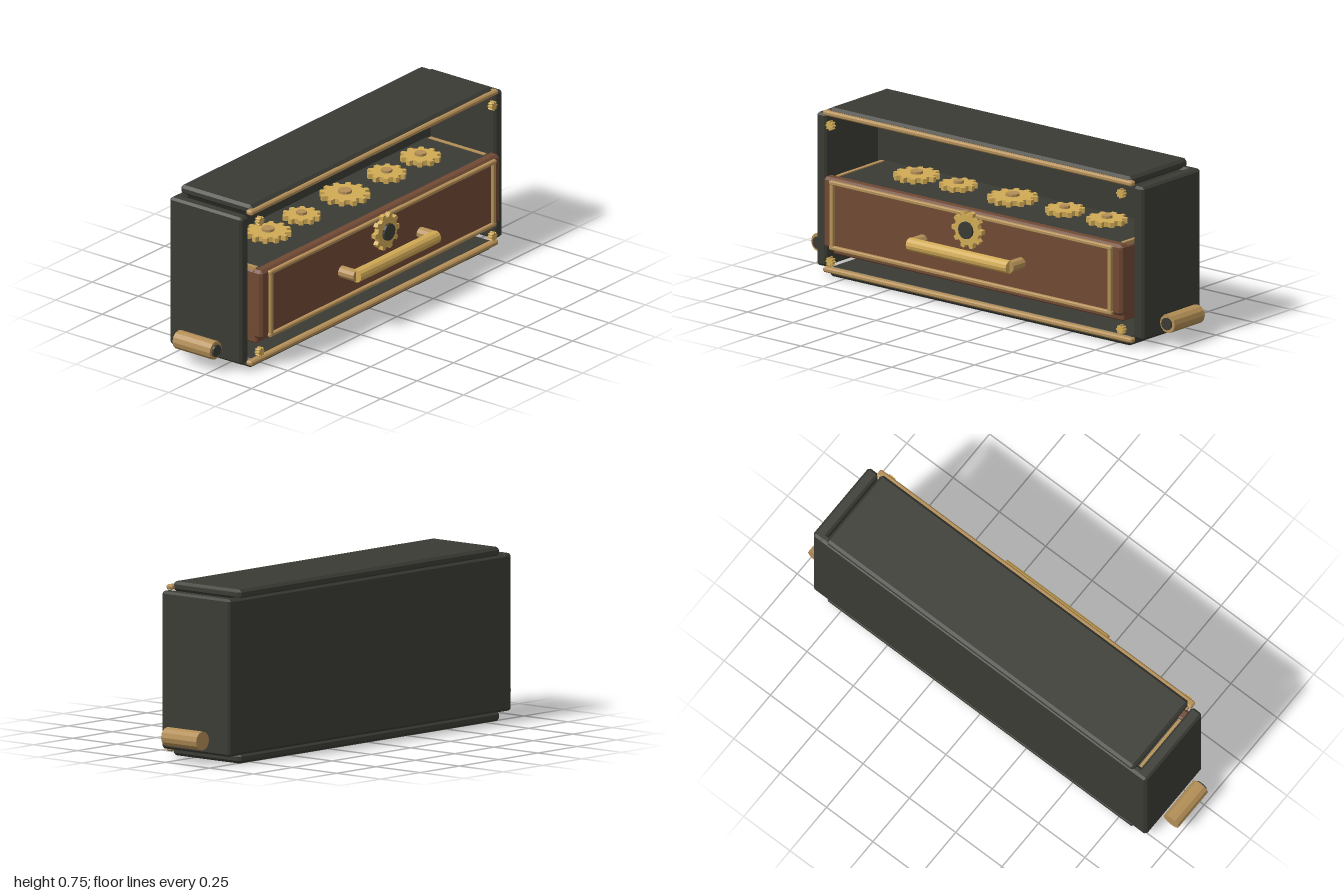
import * as THREE from 'three';
import { ConvexGeometry } from 'three/addons/geometries/ConvexGeometry.js';

const paint = (name, color) => {
  const m = new THREE.MeshStandardMaterial({ color });
  m.name = name;
  return m;
};

// Box given by its min and max corners, with every edge chamfered by c
function chamferBox([x0, y0, z0], [x1, y1, z1], c) {
  const h = [(x1 - x0) / 2, (y1 - y0) / 2, (z1 - z0) / 2];
  const points = [];
  for (const sx of [-1, 1]) for (const sy of [-1, 1]) for (const sz of [-1, 1]) {
    for (let full = 0; full < 3; full++) {
      const p = h.map((v, i) => (i === full ? v : v - c));
      points.push(new THREE.Vector3(p[0] * sx, p[1] * sy, p[2] * sz));
    }
  }
  return new ConvexGeometry(points).translate((x0 + x1) / 2, (y0 + y1) / 2, (z0 + z1) / 2);
}

// Toothed wheel facing +z, centred on its thickness
function gearGeometry(radius, teeth, depth, root = 0.8) {
  const shape = new THREE.Shape();
  const step = (Math.PI * 2) / teeth;
  for (let i = 0; i < teeth; i++) {
    [[-0.3, root], [-0.18, 1], [0.18, 1], [0.3, root]].forEach(([t, r], k) => {
      const a = (i + t) * step;
      const x = Math.cos(a) * r * radius, y = Math.sin(a) * r * radius;
      if (i === 0 && k === 0) shape.moveTo(x, y);
      else shape.lineTo(x, y);
    });
  }
  shape.closePath();
  return new THREE.ExtrudeGeometry(shape, { depth, bevelEnabled: false }).translate(0, 0, -depth / 2);
}

const rodX = (r, len, sides) => new THREE.CylinderGeometry(r, r, len, sides).rotateZ(Math.PI / 2);
const rodZ = (r, len, sides) => new THREE.CylinderGeometry(r, r, len, sides).rotateX(Math.PI / 2);

export function createModel() {
  const iron = paint('dark iron', 0x3b3b35);
  const wood = paint('red brown wood', 0x704934);
  const bronze = paint('bronze', 0xb38e56);
  const brass = paint('brass', 0xd0aa55);

  const model = new THREE.Group();
  model.name = 'drawerCabinet';
  const add = (parent, name, geometry, material, x = 0, y = 0, z = 0) => {
    const mesh = new THREE.Mesh(geometry, material);
    mesh.name = name;
    mesh.position.set(x, y, z);
    parent.add(mesh);
    return mesh;
  };
  const group = (name) => {
    const g = new THREE.Group();
    g.name = name;
    model.add(g);
    return g;
  };

  // Cabinet shell, open at the front, with narrow slots beside the top and bottom
  const shell = group('shell');
  add(shell, 'bottomPanel', chamferBox([-0.83, 0, -0.27], [0.83, 0.042, 0.115], 0.012), iron);
  add(shell, 'topPanel', chamferBox([-0.83, 0.704, -0.27], [0.83, 0.746, 0.115], 0.012), iron);
  add(shell, 'backPanel', chamferBox([-0.9, 0.037, -0.273], [0.9, 0.712, -0.233], 0.012), iron);
  for (const s of [-1, 1]) {
    const x = s * 0.873;
    add(shell, 'sidePanel', chamferBox([x - 0.027, 0.037, -0.272], [x + 0.027, 0.712, 0.115], 0.01), iron);
  }

  // Trim bars and toothed bolts around the opening
  const trim = group('frontTrim');
  for (const y of [0.03, 0.722]) {
    add(trim, 'trimBar', chamferBox([-0.85, y - 0.011, 0.1], [0.85, y + 0.011, 0.133], 0.006), bronze);
  }
  const boltGeometry = gearGeometry(0.021, 8, 0.022, 0.75);
  for (const x of [-0.8, 0.8]) for (const y of [0.075, 0.676]) {
    add(trim, 'cornerBolt', boltGeometry, brass, x, y, 0.137);
  }

  // Drawer body, front panel and covered top
  const drawer = group('drawer');
  add(drawer, 'drawerBody', chamferBox([-0.8, 0.106, -0.2], [0.8, 0.435, 0.122], 0.006), wood);
  add(drawer, 'drawerFront', chamferBox([-0.822, 0.14, 0.11], [0.822, 0.453, 0.164], 0.012), wood);
  add(drawer, 'drawerTop', new THREE.BoxGeometry(1.58, 0.016, 0.32), iron, 0, 0.44, -0.045);
  for (const x of [-0.785, 0.785]) {
    add(drawer, 'drawerRail', new THREE.BoxGeometry(0.018, 0.02, 0.3), bronze, x, 0.442, -0.04);
  }

  // Raised border on the drawer front
  for (const y of [0.15, 0.437]) {
    add(drawer, 'borderBar', chamferBox([-0.778, y - 0.009, 0.16], [0.778, y + 0.009, 0.18], 0.004), bronze);
  }
  for (const x of [-0.765, 0.765]) {
    add(drawer, 'borderPost', chamferBox([x - 0.01, 0.15, 0.16], [x + 0.01, 0.437, 0.179], 0.004), bronze);
  }

  // Toothed rosette with a dark hub
  add(drawer, 'rosette', gearGeometry(0.083, 10, 0.022), brass, 0, 0.378, 0.189);
  add(drawer, 'rosetteHub', rodZ(0.038, 0.05, 12), iron, 0, 0.378, 0.187);

  // Pull handle
  const handle = group('handle');
  add(handle, 'handleBar', rodX(0.029, 0.55, 12), brass, 0, 0.275, 0.244);
  for (const x of [-0.27, 0.27]) {
    add(handle, 'handlePost', rodZ(0.026, 0.085, 10), bronze, x, 0.275, 0.203);
  }

  // Row of flat gears resting above the drawer
  const gears = group('gearRow');
  [[-0.49, 0.1, 12], [-0.26, 0.082, 10], [0.038, 0.109, 12], [0.325, 0.085, 10], [0.557, 0.088, 10]]
    .forEach(([x, r, teeth]) => {
      const wheel = gearGeometry(r, teeth, 0.022).rotateX(-Math.PI / 2);
      add(gears, 'flatGear', wheel, brass, x, 0.469, -0.06);
      add(gears, 'gearHub', new THREE.CylinderGeometry(r * 0.28, r * 0.28, 0.046, 10), bronze, x, 0.468, -0.06);
    });

  // Side canisters with dark front caps
  const canisters = group('sideCanisters');
  for (const x of [-0.96, 0.96]) {
    add(canisters, 'canister', rodZ(0.041, 0.2, 12), bronze, x, 0.104, -0.075);
    add(canisters, 'canisterCap', rodZ(0.027, 0.02, 12), iron, x, 0.104, 0.024);
  }

  // Low-poly facets throughout
  for (const m of [iron, wood, bronze, brass]) m.flatShading = true;
  return model;
}
